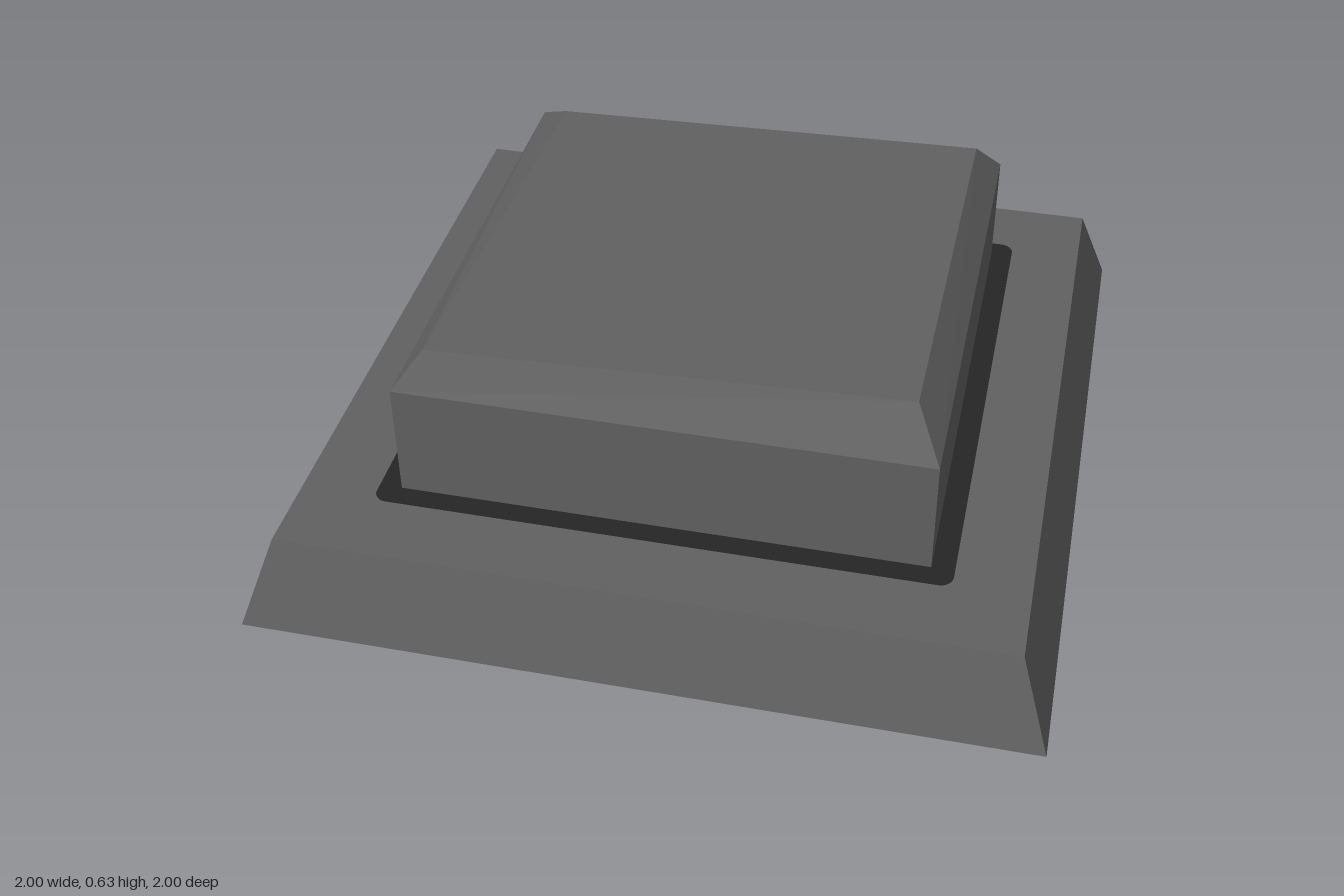
import * as THREE from 'three';

// Square outline as four [x, z] corners, counter-clockwise seen from above
const square = (h) => [[-h, -h], [-h, h], [h, h], [h, -h]];

// Flat-sided walls through a stack of four-cornered rings, with an optional lid
function loft(rings, lid) {
  const pos = [];
  const quad = (a, b, c, d) => pos.push(...a, ...b, ...c, ...a, ...c, ...d);
  const pts = rings.map(({ y, corners }) => corners.map(([x, z]) => [x, y, z]));
  for (let r = 0; r < pts.length - 1; r++) {
    for (let i = 0; i < 4; i++) {
      const j = (i + 1) % 4;
      quad(pts[r][i], pts[r][j], pts[r + 1][j], pts[r + 1][i]);
    }
  }
  if (lid) quad(...pts[pts.length - 1]);
  const geo = new THREE.BufferGeometry();
  geo.setAttribute('position', new THREE.Float32BufferAttribute(pos, 3));
  geo.computeVertexNormals();
  return geo;
}

// Square with rounded corners, drawn onto a Shape or Path
function roundedSquare(path, h, r) {
  path.moveTo(h, -h + r);
  path.absarc(h - r, h - r, r, 0, Math.PI / 2);
  path.absarc(-h + r, h - r, r, Math.PI / 2, Math.PI);
  path.absarc(-h + r, -h + r, r, Math.PI, Math.PI * 1.5);
  path.absarc(h - r, -h + r, r, Math.PI * 1.5, Math.PI * 2);
  return path;
}

export function createModel() {
  const model = new THREE.Group();
  model.name = 'squareButton';

  const grey = new THREE.MeshStandardMaterial({ color: 0x606060, side: THREE.DoubleSide });
  grey.name = 'grey';
  const black = new THREE.MeshStandardMaterial({ color: 0x252525, side: THREE.DoubleSide });
  black.name = 'black';

  const add = (name, geo, mat) => {
    const mesh = new THREE.Mesh(geo, mat);
    mesh.name = name;
    model.add(mesh);
  };
  const deckY = 0.233;
  const flat = (shape) => new THREE.ShapeGeometry(shape, 6).rotateX(-Math.PI / 2).translate(0, deckY, 0);

  // Sloping base walls, open underneath
  add('baseWalls', loft([
    { y: 0, corners: square(1) },
    { y: deckY, corners: square(0.92) },
  ]), grey);

  // Base deck with a rounded opening
  const deck = new THREE.Shape(square(0.92).map(([x, z]) => new THREE.Vector2(x, -z)));
  deck.holes.push(roundedSquare(new THREE.Path(), 0.73, 0.035));
  add('baseDeck', flat(deck), grey);

  // Dark plate filling the opening
  add('gapPlate', flat(roundedSquare(new THREE.Shape(), 0.73, 0.035)), black);

  // Button cap with an uneven bevelled top, walls reaching below the plate
  add('buttonCap', loft([
    { y: 0.18, corners: square(0.672) },
    { y: 0.545, corners: square(0.672) },
    { y: 0.63, corners: [[-0.57, -0.555], [-0.605, 0.6], [0.6, 0.54], [0.605, -0.605]] },
  ], true), grey);

  return model;
}
